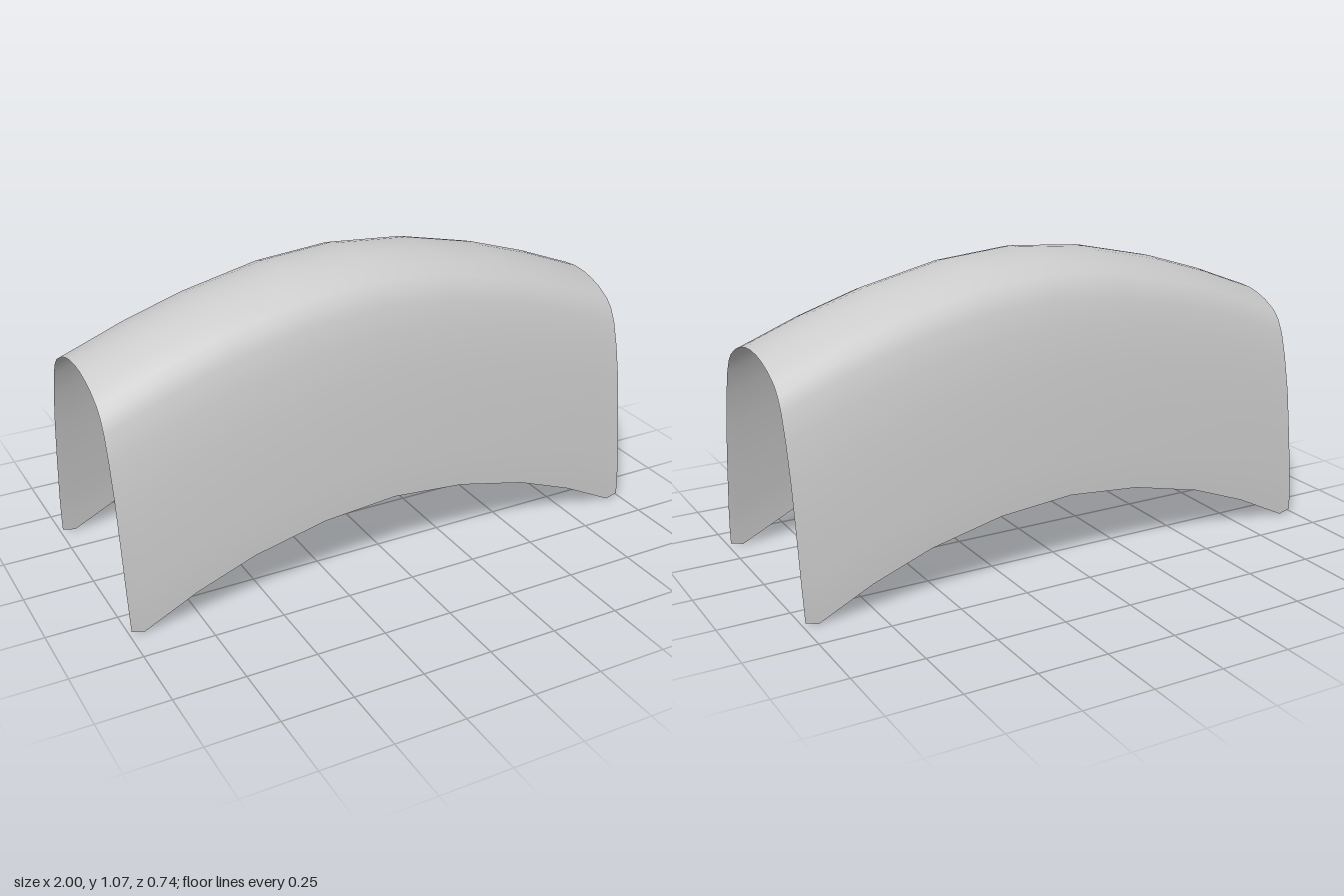
import * as THREE from 'three';

// Half cross-section at mid length, from crown to rim: [z, y]
const PROFILE = [
  [0, 1.073], [0.055, 1.069], [0.103, 1.058], [0.155, 1.04], [0.208, 1.01], [0.237, 0.98],
  [0.262, 0.932], [0.288, 0.845], [0.316, 0.715], [0.34, 0.545], [0.358, 0.395], [0.366, 0.32], [0.37, 0.26],
];

// Half of the lengthwise arch: [x at crown, x at rim, drop at crown, drop at rim]
const STATIONS = [
  [0, 0, 0, 0], [0.275, 0.275, 0.023, 0.024], [0.56, 0.54, 0.087, 0.085],
  [0.78, 0.754, 0.157, 0.165], [0.947, 0.947, 0.222, 0.26], [1, 0.993, 0.242, 0.248],
];

// Mirror a half list about its first entry, negating the given fields
function mirrored(half, fields) {
  const flipped = half.slice(1).reverse().map((p) => p.map((v, k) => (fields.includes(k) ? -v : v)));
  return [...flipped, ...half];
}

function archedShell() {
  const rows = mirrored(PROFILE, [0]);
  const cols = mirrored(STATIONS, [0, 1]);
  const positions = [];
  const index = [];
  const last = PROFILE.length - 1;

  rows.forEach(([z, y], i) => {
    // Blend from the crown curve to the rim curve, mostly near the rim
    const t = (Math.abs(i - last) / last) ** 4;
    for (const [x0, x1, d0, d1] of cols) {
      positions.push(THREE.MathUtils.lerp(x0, x1, t), y - THREE.MathUtils.lerp(d0, d1, t), z);
    }
  });

  const n = cols.length;
  for (let i = 0; i < rows.length - 1; i++) {
    for (let j = 0; j < n - 1; j++) {
      const a = i * n + j;
      const b = a + n;
      index.push(a, b, a + 1, a + 1, b, b + 1);
    }
  }

  const geometry = new THREE.BufferGeometry();
  geometry.setAttribute('position', new THREE.Float32BufferAttribute(positions, 3));
  geometry.setIndex(index);
  geometry.computeVertexNormals();
  return geometry;
}

export function createModel() {
  const group = new THREE.Group();
  group.name = 'archedCover';
  // Thin curved sheet, open below and at both ends
  const shell = new THREE.Mesh(
    archedShell(),
    new THREE.MeshStandardMaterial({ color: 0xcccccc, side: THREE.DoubleSide }),
  );
  shell.name = 'coverShell';
  group.add(shell);
  return group;
}
